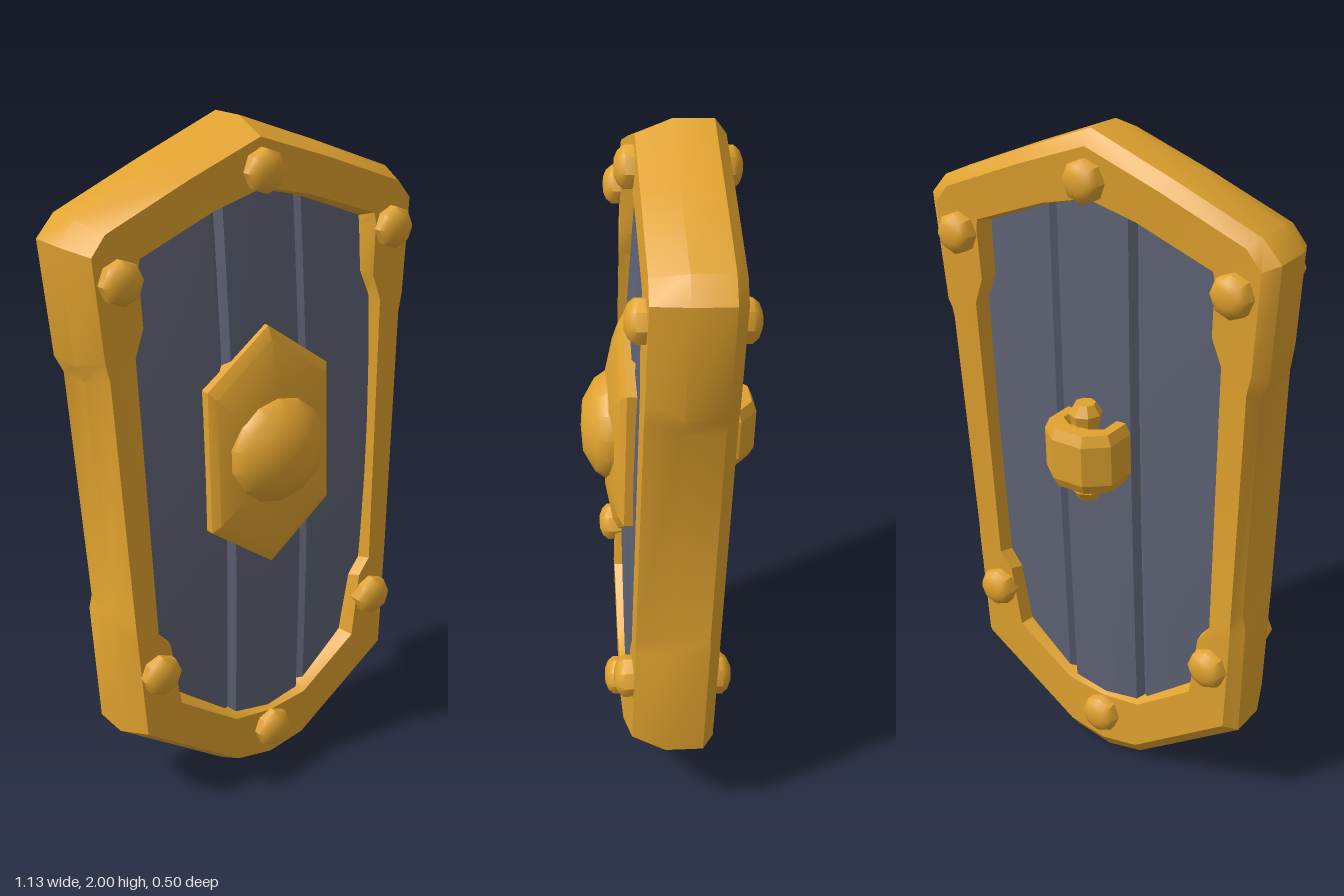
import * as THREE from 'three';
import { toCreasedNormals } from 'three/addons/utils/BufferGeometryUtils.js';

const gold = new THREE.MeshStandardMaterial({ color: 0xe0a22e });
gold.name = 'gold';
const slate = new THREE.MeshStandardMaterial({ color: 0x5f6375 });
slate.name = 'slate';

function part(name, geometry, material, crease = 0.4) {
  const mesh = new THREE.Mesh(toCreasedNormals(geometry, crease), material);
  mesh.name = name;
  return mesh;
}

// Skin a list of equally long rings of [x, y, z] points
function loft(rings, flip = false) {
  const n = rings[0].length;
  const index = [];
  for (let i = 0; i < rings.length - 1; i++) {
    for (let j = 0; j < n - 1; j++) {
      const a = i * n + j, b = a + 1, c = a + n, d = c + 1;
      if (flip) index.push(a, c, d, a, d, b);
      else index.push(a, b, d, a, d, c);
    }
  }
  const g = new THREE.BufferGeometry();
  g.setAttribute('position', new THREE.Float32BufferAttribute(rings.flat(2), 3));
  g.setIndex(index);
  return g;
}

// Turned stud pointing to the front (side 1) or back (side -1)
function stud(profile, sides, side) {
  const points = profile.map(([r, h]) => new THREE.Vector2(r, h));
  return new THREE.LatheGeometry(points, sides).rotateX(side * Math.PI / 2);
}

// Rim: outer x, y and inner x, y down the left half, mirrored to the right
function makeFrame() {
  const half = [
    [0, 2, 0, 1.8], [0.25, 1.905, 0.14, 1.77], [0.51, 1.8, 0.37, 1.685],
    [0.565, 1.74, 0.37, 1.66], [0.54, 1.42, 0.365, 1.53], [0.515, 1.37, 0.4, 1.45],
    [0.48, 0.68, 0.375, 0.6], [0.49, 0.64, 0.33, 0.55], [0.475, 0.27, 0.3, 0.37],
    [0.12, 0.025, 0.13, 0.25], [0, 0, 0, 0.235],
  ];
  const mirrored = half.slice(0, -1).reverse().map(([a, b, c, d]) => [-a, b, -c, d]);
  // Cross-section: share of the way from outer to inner edge, and depth
  const section = [
    [1, -0.06], [0.9, -0.115], [0.2, -0.122], [0, -0.09],
    [0, 0.02], [0.22, 0.115], [0.88, 0.12], [1, 0.07], [1, -0.06],
  ];
  const rings = [...half, ...mirrored].map(([ox, oy, ix, iy]) =>
    section.map(([t, z]) => [ox + (ix - ox) * t, oy + (iy - oy) * t, z]));
  return loft(rings);
}

// One face of the planked panel, bowed outwards, with two grooves
function makePanel(side) {
  const halfSection = [
    [0, 0.1], [0.115, 0.096], [0.132, 0.075], [0.148, 0.088], [0.28, 0.078], [0.43, 0.06],
  ];
  const section = [...halfSection.slice(1).reverse().map(([x, z]) => [-x, z]), ...halfSection];
  const bow = side > 0 ? 0.028 : 0.008;
  const rows = 8;
  const columns = section.map(([x, z]) => {
    const top = 1.88 - 0.35 * Math.abs(x), bottom = 0.14 + 0.62 * Math.abs(x);
    return Array.from({ length: rows + 1 }, (_, i) => {
      const v = i / rows;
      return [x, bottom + (top - bottom) * v, side * (z + bow * Math.sin(Math.PI * v))];
    });
  });
  return loft(columns, side > 0);
}

// Pointed six-sided plate rising to its middle
function makeBossPlate() {
  const outline = [
    [0, 0.36], [-0.205, 0.21], [-0.205, -0.21], [0, -0.36], [0.205, -0.21], [0.205, 0.21], [0, 0.36],
  ];
  const levels = [[1, 0.08], [1, 0.135], [0.9, 0.152], [0.55, 0.177], [0.01, 0.186]];
  return loft(levels.map(([s, z]) => outline.map(([x, y]) => [x * s, 1.09 + y * s, z])));
}

// Faceted arch for the hand
function makeHandleArch() {
  const arch = [
    [-0.1, 0.08], [-0.1, 0.19], [-0.045, 0.235], [0.045, 0.235], [0.1, 0.19], [0.1, 0.08],
    [0.07, 0.08], [0.07, 0.165], [0.035, 0.19], [-0.035, 0.19], [-0.07, 0.165], [-0.07, 0.08],
  ];
  const shape = new THREE.Shape(arch.map(([x, y]) => new THREE.Vector2(x, y)));
  const g = new THREE.ExtrudeGeometry(shape, {
    depth: 0.12, bevelEnabled: true, bevelSegments: 1, bevelThickness: 0.03, bevelSize: 0.014,
  });
  return g.rotateX(-Math.PI / 2).translate(0, 1.04, 0);
}

export function createModel() {
  const model = new THREE.Group();
  model.name = 'shield';

  // The whole shield leans back a little
  const body = new THREE.Group();
  body.name = 'leaningShield';
  body.rotation.x = -0.0365;
  body.position.z = 0.04;
  model.add(body);

  body.add(part('frame', makeFrame(), gold, 0.5));
  body.add(part('frontPanel', makePanel(1), slate));
  body.add(part('backPanel', makePanel(-1), slate));

  // Boss
  body.add(part('bossPlate', makeBossPlate(), gold));
  const dome = stud([[0.155, 0.13], [0.155, 0.18], [0.135, 0.21], [0.075, 0.244], [0, 0.25]], 14, 1);
  body.add(part('bossDome', dome.translate(0, 1.095, 0), gold, 0.7));

  // Rivets on both faces
  const rivetProfile = [[0.06, 0.09], [0.06, 0.142], [0.046, 0.158], [0.024, 0.167], [0, 0.167]];
  const rivetSpots = [
    [0, 1.87], [0.45, 1.65], [-0.45, 1.65], [0.39, 0.485], [-0.39, 0.485], [0, 0.15],
  ];
  for (const [x, y] of rivetSpots) {
    for (const side of [1, -1]) {
      const g = stud(rivetProfile, 8, side).translate(x, y, 0);
      body.add(part(side > 0 ? 'frontRivet' : 'backRivet', g, gold, 0.7));
    }
  }

  // Handle: arch around an upright grip
  body.add(part('handleArch', makeHandleArch(), gold));
  const gripProfile = [[0, -0.15], [0.03, -0.15], [0.048, -0.12], [0.036, -0.07],
    [0.036, 0.07], [0.048, 0.12], [0.03, 0.15], [0, 0.15]];
  const grip = new THREE.LatheGeometry(gripProfile.map(([r, h]) => new THREE.Vector2(r, h)), 8);
  body.add(part('handleGrip', grip.translate(0, 1.1, -0.155), gold));

  return model;
}
